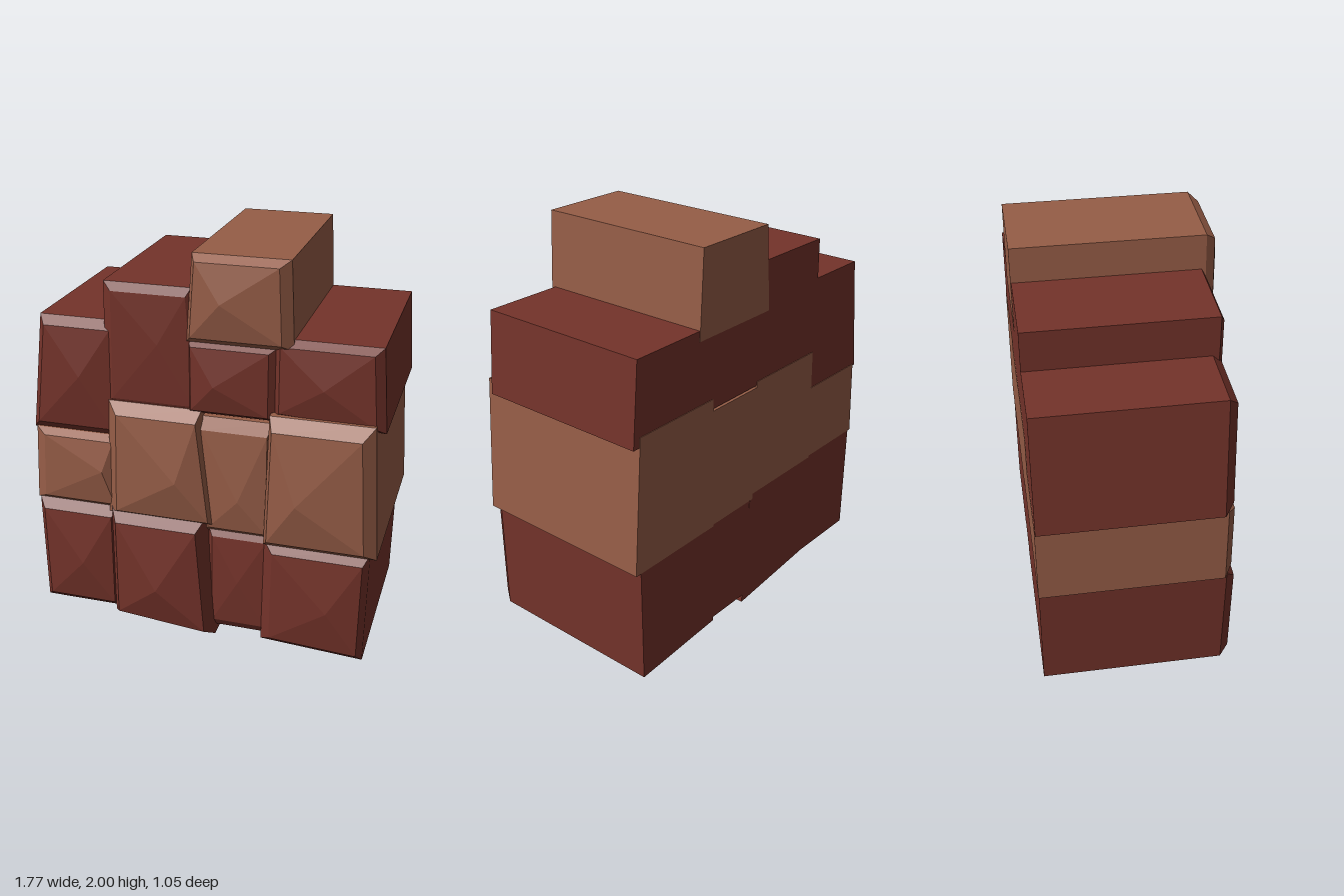
import * as THREE from 'three';

const redStone = new THREE.MeshStandardMaterial({ color: 0x74332a, flatShading: true });
redStone.name = 'redStone';
const tanStone = new THREE.MeshStandardMaterial({ color: 0x965d47, flatShading: true });
tanStone.name = 'tanStone';

// Tan stones reach slightly further back so they cover red ones where they overlap
const backDepth = (mat) => (mat === tanStone ? -0.525 : -0.522);

// One rough stone: straight sides, flat back, chamfered front rising to an off-centre peak.
// x and y are ranges, lean moves the top corners right, tilt drops the bottom right corner.
function stone(name, mat, { x, y, rim, peak, lean = [0, 0], tilt = 0 }) {
  const corners = [
    [x[0], y[0]], [x[1], y[0] - tilt],
    [x[1] + lean[1], y[1]], [x[0] + lean[0], y[1]],
  ];
  // Chamfer is narrower at the sides nearer the peak
  const inner = corners.map(([cx, cy]) => [
    THREE.MathUtils.lerp(cx, peak[0], 0.15),
    THREE.MathUtils.lerp(cy, peak[1], 0.15),
    THREE.MathUtils.lerp(rim, peak[2], 0.55),
  ]);
  const back = corners.map((c) => [...c, backDepth(mat)]);
  const front = corners.map((c) => [...c, rim]);

  const pos = [];
  const tri = (...points) => points.forEach((p) => pos.push(...p));
  const quad = (a, b, c, d) => {
    tri(a, b, c);
    tri(a, c, d);
  };
  for (let i = 0; i < 4; i++) {
    const j = (i + 1) % 4;
    quad(back[i], back[j], front[j], front[i]);
    quad(front[i], front[j], inner[j], inner[i]);
    tri(inner[i], inner[j], peak);
  }
  quad(back[3], back[2], back[1], back[0]);

  const geo = new THREE.BufferGeometry();
  geo.setAttribute('position', new THREE.Float32BufferAttribute(pos, 3));
  geo.computeVertexNormals();
  const mesh = new THREE.Mesh(geo, mat);
  mesh.name = name;
  return mesh;
}

export function createModel() {
  const group = new THREE.Group();
  group.name = 'stoneWall';

  // Upper course and cap
  group.add(
    stone('capStone', tanStone, { x: [-0.06, 0.45], y: [1.58, 2], rim: 0.39, peak: [0.12, 1.79, 0.47], lean: [0.03, -0.02] }),
    stone('upperMiddleStone', redStone, { x: [-0.48, 0], y: [1.2, 1.83], rim: 0.37, peak: [-0.2, 1.55, 0.41], lean: [0.01, -0.04] }),
    stone('upperRightStone', redStone, { x: [-0.885, -0.42], y: [1.03, 1.63], rim: 0.34, peak: [-0.6, 1.35, 0.42], lean: [0.07, 0] }),
    stone('upperInnerStone', redStone, { x: [-0.06, 0.38], y: [1.22, 1.59], rim: 0.37, peak: [0.08, 1.38, 0.44] }),
    stone('upperLeftStone', redStone, { x: [0.35, 0.885], y: [1.25, 1.63], rim: 0.37, peak: [0.6, 1.42, 0.44], lean: [0, -0.03], tilt: 0.03 }),
  );

  // Middle course
  group.add(
    stone('middleRightStone', tanStone, { x: [-0.885, -0.44], y: [0.64, 1.04], rim: 0.36, peak: [-0.5, 0.86, 0.43], lean: [0.02, 0] }),
    stone('middleBroadStone', tanStone, { x: [-0.48, 0.08], y: [0.63, 1.24], rim: 0.39, peak: [-0.1, 0.88, 0.49], lean: [0.02, -0.07] }),
    stone('middleNarrowStone', tanStone, { x: [0.02, 0.36], y: [0.6, 1.21], rim: 0.38, peak: [0.2, 0.8, 0.44], lean: [-0.04, 0] }),
    stone('middleLeftStone', tanStone, { x: [0.33, 0.885], y: [0.59, 1.27], rim: 0.43, peak: [0.5, 0.86, 0.525], lean: [0.02, -0.04] }),
  );

  // Bottom course
  group.add(
    stone('lowerRightStone', redStone, { x: [-0.86, -0.44], y: [0.06, 0.65], rim: 0.37, peak: [-0.62, 0.33, 0.45], lean: [-0.01, 0] }),
    stone('lowerBroadStone', redStone, { x: [-0.46, 0.08], y: [0.06, 0.67], rim: 0.41, peak: [-0.2, 0.28, 0.525], lean: [0, -0.05], tilt: 0.05 }),
    stone('lowerNarrowStone', redStone, { x: [0.04, 0.36], y: [0.05, 0.62], rim: 0.38, peak: [0.2, 0.34, 0.43] }),
    stone('lowerLeftStone', redStone, { x: [0.32, 0.84], y: [0.03, 0.6], rim: 0.41, peak: [0.66, 0.28, 0.49], lean: [0.01, 0.01], tilt: 0.03 }),
  );

  return group;
}
